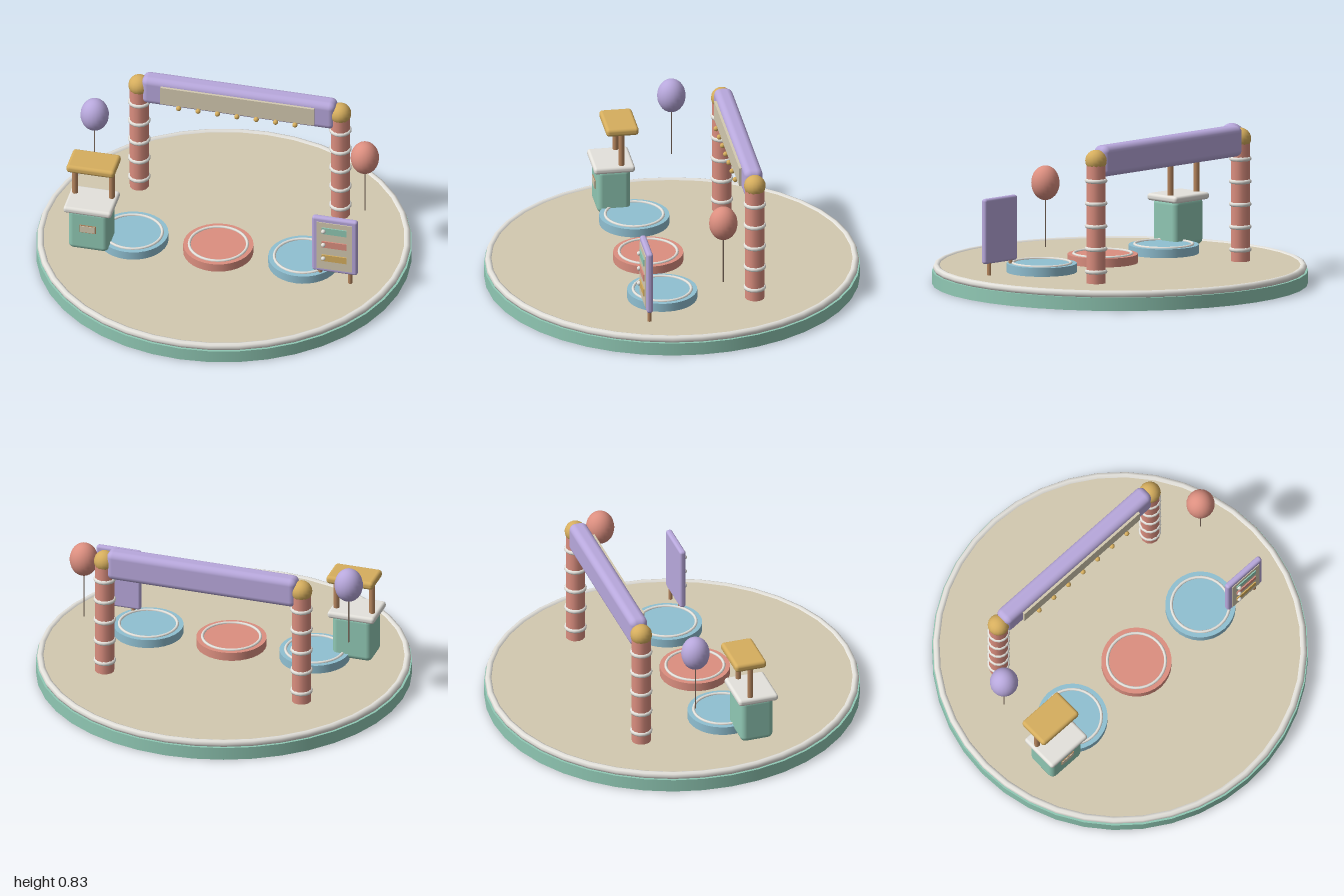
import * as THREE from 'three';
import { RoundedBoxGeometry } from 'three/addons/geometries/RoundedBoxGeometry.js';

const colour = (name, color) => Object.assign(new THREE.MeshStandardMaterial({ color }), { name });

export function createModel() {
  const mint = colour('mint', 0x90c8b4);
  const sand = colour('sand', 0xd3c9b0);
  const cream = colour('cream', 0xe4e2dc);
  const coral = colour('coral', 0xdc8f80);
  const lilac = colour('lilac', 0xb8a8dc);
  const sky = colour('sky', 0x90c0d2);
  const gold = colour('gold', 0xd6ae5e);
  const wood = colour('wood', 0xb8875f);
  const cord = colour('cord', 0x7d6a5c);

  const model = new THREE.Group();
  model.name = 'partyStage';

  const group = (name, x = 0, y = 0, z = 0) => {
    const g = new THREE.Group();
    g.name = name;
    g.position.set(x, y, z);
    model.add(g);
    return g;
  };
  const add = (parent, name, geometry, material, x, y, z) => {
    const mesh = new THREE.Mesh(geometry, material);
    mesh.name = name;
    mesh.position.set(x, y, z);
    parent.add(mesh);
    return mesh;
  };
  const box = (w, h, d, r) => new RoundedBoxGeometry(w, h, d, 3, r);
  const rod = (r, h, sides = 10) => new THREE.CylinderGeometry(r, r, h, sides);
  const ball = (r) => new THREE.SphereGeometry(r, 16, 12);
  // Horizontal ring
  const ring = (r, tube, sides) => new THREE.TorusGeometry(r, tube, 8, sides).rotateX(Math.PI / 2);

  // Round platform
  const platform = group('platform');
  add(platform, 'platformBase', rod(1, 0.07, 40), mint, 0, 0.035, 0);
  add(platform, 'platformFloor', rod(0.97, 0.03, 40), sand, 0, 0.083, 0);
  add(platform, 'platformRim', ring(0.975, 0.02, 40), cream, 0, 0.086, 0);

  // Archway: banded pillars with gold finials
  const arch = group('archway', 0, 0, -0.357);
  for (const x of [-0.55, 0.55]) {
    add(arch, 'pillar', rod(0.052, 0.65, 12), coral, x, 0.42, 0);
    for (let i = 0; i < 5; i++) {
      add(arch, 'pillarBand', ring(0.049, 0.012, 14), cream, x, 0.16 + i * 0.122, 0);
    }
    add(arch, 'pillarFinial', ball(0.058), gold, x, 0.755, 0);
  }
  // Header beam, sign and lamps
  add(arch, 'headerBeam', box(1.06, 0.165, 0.1, 0.035), lilac, 0, 0.748, 0);
  add(arch, 'headerSign', new THREE.BoxGeometry(0.84, 0.105, 0.02), sand, 0, 0.748, 0.053);
  for (let i = -3; i <= 3; i++) {
    add(arch, 'headerLamp', ball(0.014), gold, i * 0.106, 0.687, 0.068);
  }

  // Three standing pads
  [[-0.465, sky], [0, coral], [0.465, sky]].forEach(([x, material]) => {
    const pad = group('standingPad', x, 0, 0.128);
    add(pad, 'padDisc', rod(0.187, 0.052, 32), material, 0, 0.119, 0);
    add(pad, 'padRing', ring(0.155, 0.008, 32), cream, 0, 0.146, 0);
  });

  // Kiosk
  const kiosk = group('kiosk', -0.67, 0, 0.22);
  add(kiosk, 'kioskBody', box(0.22, 0.255, 0.18, 0.03), mint, 0, 0.24, 0);
  add(kiosk, 'kioskCounter', box(0.262, 0.038, 0.22, 0.016), cream, 0, 0.372, 0);
  add(kiosk, 'kioskPlateFrame', new THREE.BoxGeometry(0.088, 0.046, 0.006), wood, 0, 0.256, 0.091);
  add(kiosk, 'kioskPlate', new THREE.BoxGeometry(0.08, 0.038, 0.008), sand, 0, 0.256, 0.093);
  for (const x of [-0.1, 0.1]) add(kiosk, 'kioskPost', rod(0.016, 0.2), wood, x, 0.48, -0.04);
  add(kiosk, 'kioskRoof', box(0.262, 0.045, 0.175, 0.018), gold, 0, 0.592, -0.043);

  // Notice board on posts
  const board = group('noticeBoard', 0.667, 0, 0.245);
  add(board, 'boardFrame', box(0.248, 0.35, 0.034, 0.014), lilac, 0, 0.335, 0);
  add(board, 'boardPanel', new THREE.BoxGeometry(0.194, 0.3, 0.008), sand, 0, 0.333, 0.017);
  [mint, coral, gold].forEach((material, i) => {
    const y = 0.433 - i * 0.088;
    add(board, 'boardBar', new THREE.BoxGeometry(0.135, 0.04, 0.008), material, 0, y, 0.023);
    add(board, 'boardKnob', ball(0.012), cream, -0.057, y, 0.031);
  });
  for (const x of [-0.082, 0.082]) add(board, 'boardPost', rod(0.011, 0.13), wood, x, 0.145, -0.003);

  // Balloons with hanging strings
  [[-0.735, 0.7, -0.115, lilac], [0.732, 0.635, -0.158, coral]].forEach(([x, y, z, material]) => {
    const balloon = group('balloon', x, y, z);
    add(balloon, 'balloonBody', new THREE.SphereGeometry(0.076, 20, 16), material, 0, 0, 0).scale.y = 1.22;
    add(balloon, 'balloonString', rod(0.003, 0.26, 6), cord, 0, -0.215, 0);
  });

  return model;
}
